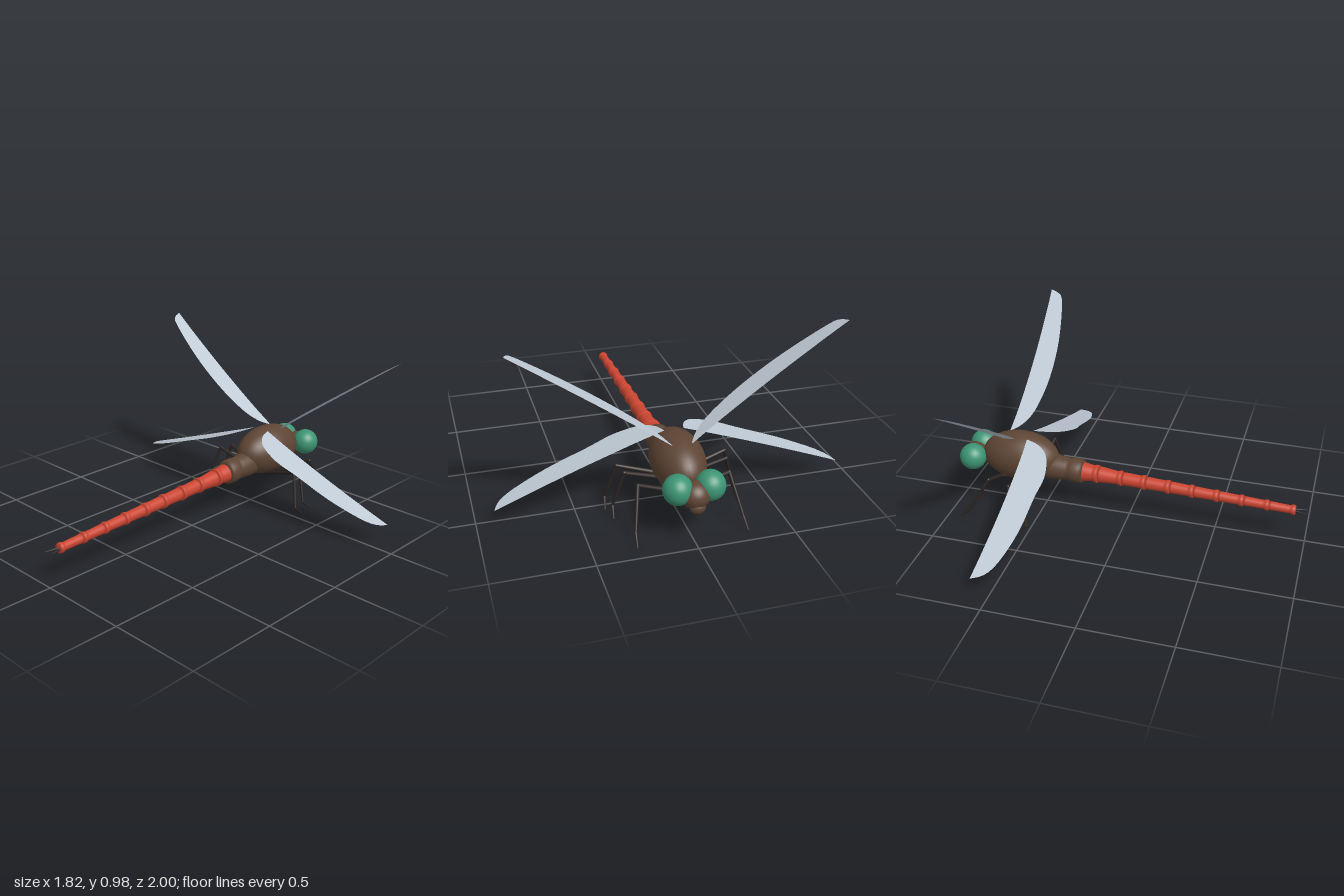
import * as THREE from 'three';

const mat = (name, color, side = THREE.FrontSide) => {
  const m = new THREE.MeshStandardMaterial({ color, side });
  m.name = name;
  return m;
};

export function createModel() {
  const brown = mat('body brown', 0x5e4534);
  const red = mat('abdomen red', 0xcb4531);
  const green = mat('eye green', 0x3c9474);
  const dark = mat('leg dark', 0x2c2422);
  const grey = mat('wing grey', 0xbfcad5, THREE.DoubleSide);

  const model = new THREE.Group();
  model.name = 'dragonfly';
  const add = (name, geometry, material) => {
    const mesh = new THREE.Mesh(geometry, material);
    mesh.name = name;
    model.add(mesh);
    return mesh;
  };
  const ellipsoid = (name, material, [x, y, z], [rx, ry, rz]) => {
    const mesh = add(name, new THREE.SphereGeometry(1, 36, 24), material);
    mesh.scale.set(rx, ry, rz);
    mesh.position.set(x, y, z);
  };

  // Tapered rod between two points
  const rod = (name, a, b, ra, rb, material) => {
    const p = new THREE.Vector3(...a), q = new THREE.Vector3(...b);
    const d = q.clone().sub(p);
    const mesh = add(name, new THREE.CylinderGeometry(rb, ra, d.length(), 10), material);
    mesh.position.copy(p).add(q).multiplyScalar(0.5);
    mesh.quaternion.setFromUnitVectors(new THREE.Vector3(0, 1, 0), d.normalize());
  };

  // Profile of [radius, z] turned about the gently sloping body axis
  const axisY = (z) => 0.245 - 0.0375 * (z + 0.27);
  const turned = (name, profile, material) => {
    const g = new THREE.LatheGeometry(profile.map(([r, z]) => new THREE.Vector2(r, z)), 28);
    g.rotateX(Math.PI / 2);
    const p = g.attributes.position;
    for (let i = 0; i < p.count; i++) p.setY(i, p.getY(i) + axisY(p.getZ(i)));
    add(name, g, material);
  };

  // Thorax, head and mouth
  ellipsoid('thorax', brown, [0, 0.298, -0.645], [0.135, 0.143, 0.226]);
  ellipsoid('head', brown, [0, 0.262, -0.925], [0.075, 0.07, 0.075]);
  ellipsoid('mouth', brown, [0, 0.216, -0.965], [0.04, 0.034, 0.032]);

  // Brown waist of two rounded segments
  turned('waist', [
    [0, -0.56], [0.07, -0.55], [0.074, -0.45], [0.07, -0.41], [0.066, -0.365], [0.062, -0.352],
    [0.07, -0.34], [0.071, -0.315], [0.069, -0.285], [0.062, -0.27], [0, -0.268],
  ], brown);

  // Red abdomen: nine segments, each ending in a swollen ring
  const joints = [-0.28, -0.18, -0.04, 0.095, 0.235, 0.37, 0.51, 0.65, 0.79, 0.935];
  for (let i = 0; i < joints.length - 1; i++) {
    const a = joints[i], b = joints[i + 1];
    const radius = (z) => 0.0225 + 0.0175 * (0.93 - z) / 1.1 + 0.012 * Math.max(0, (-0.08 - z) / 0.2);
    const r0 = radius(a), r1 = radius(b);
    turned('abdomenSegment' + (i + 1), [
      [0, a - 0.004], [r0 * 0.96, a - 0.002], [r0, a + 0.014], [r1, b - 0.035], [r1 + 0.001, b - 0.026],
      [r1 + 0.005, b - 0.02], [r1 + 0.006, b - 0.008], [r1 + 0.003, b], [0, b + 0.002],
    ], red);
  }

  // Fore and hind wing outlines as [x, z], leading edge then trailing edge
  const wings = [
    {
      name: 'foreWing', y: (x) => 0.425 + (x - 0.055) * 0.712,
      lead: [[0.045, -0.725], [0.2, -0.712], [0.45, -0.708], [0.7, -0.716], [0.835, -0.725]],
      trail: [[0.835, -0.725], [0.815, -0.67], [0.77, -0.638], [0.6, -0.597], [0.45, -0.58], [0.3, -0.584],
        [0.16, -0.615], [0.085, -0.665], [0.045, -0.725]],
    },
    {
      name: 'hindWing', y: (x) => 0.432 - (x - 0.06) * 0.37,
      lead: [[0.05, -0.585], [0.22, -0.575], [0.5, -0.571], [0.75, -0.577], [0.912, -0.585]],
      trail: [[0.912, -0.585], [0.88, -0.52], [0.8, -0.472], [0.62, -0.43], [0.4, -0.417], [0.27, -0.405],
        [0.14, -0.44], [0.075, -0.51], [0.05, -0.585]],
    },
  ];

  for (const s of [1, -1]) {
    const side = s > 0 ? 'left' : 'right';

    // Eye and tail prong
    ellipsoid(side + 'Eye', green, [s * 0.082, 0.292, -0.91], [0.074, 0.076, 0.076]);
    rod(side + 'TailProng', [s * 0.007, 0.199, 0.925], [s * 0.021, 0.198, 1], 0.007, 0.002, dark);

    // Thin flat wings, tilted up in front and down behind
    for (const w of wings) {
      const points = [w.lead, w.trail].flatMap((edge) =>
        new THREE.SplineCurve(edge.map(([x, z]) => new THREE.Vector2(x, z))).getPoints(24).slice(0, -1));
      const g = new THREE.ShapeGeometry(new THREE.Shape(points));
      const p = g.attributes.position;
      for (let i = 0; i < p.count; i++) {
        const x = p.getX(i), z = p.getY(i);
        p.setXYZ(i, s * x, w.y(x), z);
      }
      // Keep the front of the sheet facing up on both sides
      if (s > 0) g.index.array.reverse();
      g.computeVertexNormals();
      add(side + w.name[0].toUpperCase() + w.name.slice(1), g, grey);
    }

    // Legs: hip, body joint, knee, ankle, toe
    const legs = {
      FrontLeg: [[0.03, 0.17, -0.7], [0.09, 0.195, -0.74], [0.235, 0.252, -0.757], [0.275, 0.06, -0.865], [0.282, 0.008, -0.925]],
      MiddleLeg: [[0.03, 0.16, -0.65], [0.09, 0.19, -0.605], [0.268, 0.252, -0.625], [0.322, 0.06, -0.597], [0.33, 0.008, -0.65]],
      HindLeg: [[0.03, 0.16, -0.6], [0.09, 0.19, -0.56], [0.288, 0.252, -0.545], [0.342, 0.06, -0.503], [0.352, 0.008, -0.557]],
    };
    const radii = [0.014, 0.013, 0.01, 0.007, 0.004];
    for (const [leg, joint] of Object.entries(legs)) {
      const pts = joint.map(([x, y, z]) => [s * x, y, z]);
      for (let i = 0; i < 4; i++) {
        rod(side + leg + (i + 1), pts[i], pts[i + 1], radii[i], radii[i + 1], dark);
        if (i < 3) ellipsoid(side + leg + 'Joint' + (i + 1), dark, pts[i + 1], Array(3).fill(radii[i + 1]));
      }
    }
  }
  return model;
}
